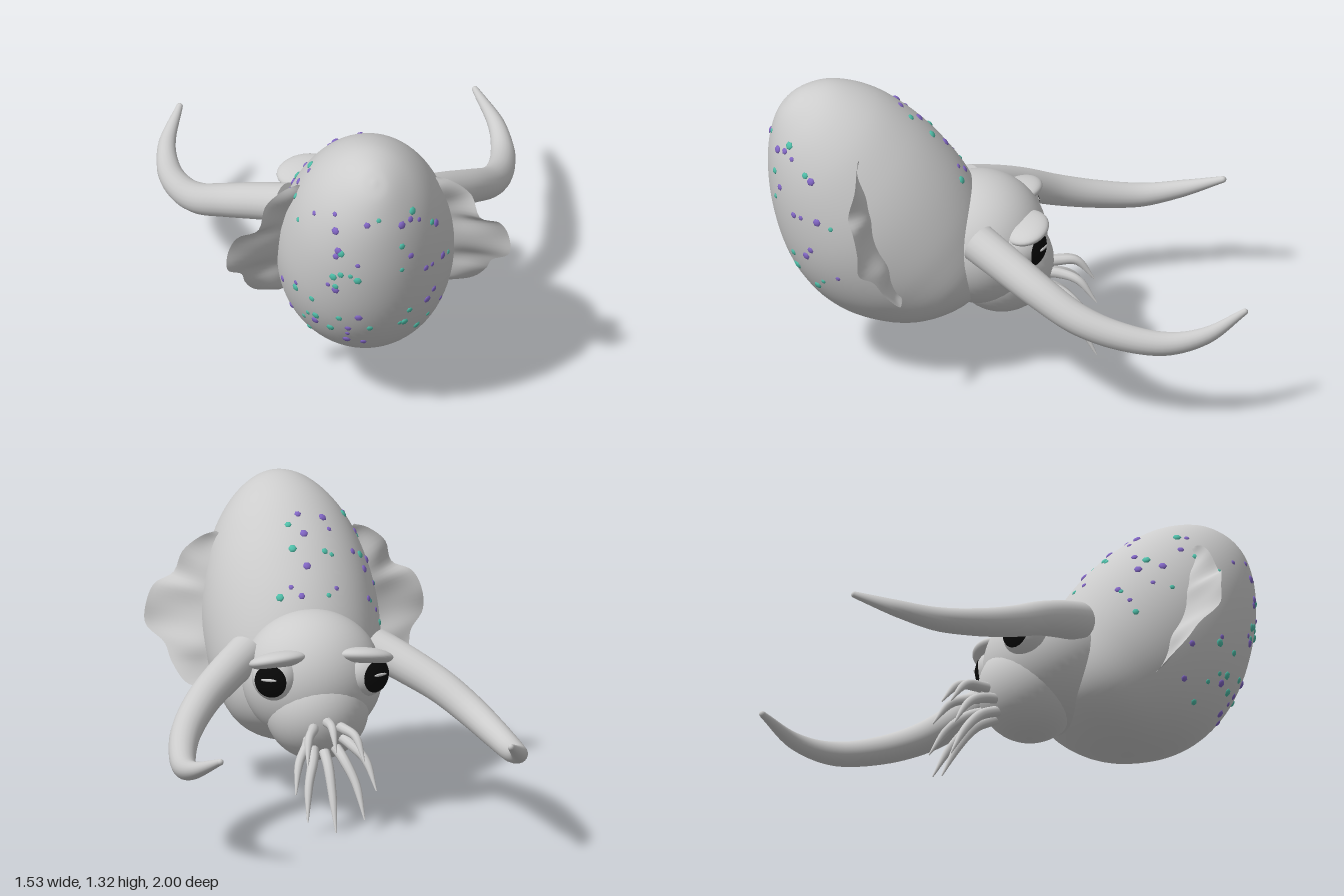
import * as THREE from 'three';
import { mergeVertices } from 'three/addons/utils/BufferGeometryUtils.js';

const V = (x, y, z) => new THREE.Vector3(x, y, z);
const path = (pts) => new THREE.CatmullRomCurve3(pts.map((p) => V(...p)));

function material(name, color, extra = {}) {
  const m = new THREE.MeshStandardMaterial({ color, ...extra });
  m.name = name;
  return m;
}

function add(parent, name, geometry, mat) {
  const mesh = new THREE.Mesh(geometry, mat);
  mesh.name = name;
  parent.add(mesh);
  return mesh;
}

function smooth(geometry) {
  geometry.deleteAttribute('uv');
  geometry.deleteAttribute('normal');
  const g = mergeVertices(geometry, 1e-5);
  g.computeVertexNormals();
  return g;
}

// Tube whose radius follows a list of values along its length
function taperedTube(curve, radii, segments, sides) {
  const g = new THREE.TubeGeometry(curve, segments, 1, sides);
  const pos = g.attributes.position, v = V(0, 0, 0);
  for (let i = 0; i <= segments; i++) {
    const centre = curve.getPointAt(i / segments);
    const f = (i / segments) * (radii.length - 1);
    const k = Math.min(Math.floor(f), radii.length - 2);
    const r = THREE.MathUtils.lerp(radii[k], radii[k + 1], f - k);
    for (let j = 0; j <= sides; j++) {
      const n = i * (sides + 1) + j;
      v.fromBufferAttribute(pos, n).sub(centre).multiplyScalar(r).add(centre);
      pos.setXYZ(n, v.x, v.y, v.z);
    }
  }
  return g;
}

// Egg lofted on a slanted axis; stations: distance on axis, offset, half depth, half width
function mantleGeometry() {
  const stations = [
    [1.53, 0.245, 0, 0], [1.517, 0.24, 0.075, 0.065], [1.46, 0.235, 0.172, 0.152],
    [1.379, 0.22, 0.25, 0.228], [1.254, 0.195, 0.33, 0.3], [1.09, 0.16, 0.393, 0.352],
    [0.938, 0.134, 0.421, 0.375], [0.776, 0.118, 0.417, 0.373], [0.624, 0.115, 0.375, 0.35],
    [0.46, 0.126, 0.275, 0.295], [0.36, 0.155, 0.15, 0.19], [0.31, 0.18, 0, 0],
  ];
  const depth = path(stations.map(([s, c, r]) => [s, c, r]));
  const width = path(stations.map(([s, , , w]) => [s, w, 0]));
  const g = new THREE.SphereGeometry(1, 72, 55);
  const pos = g.attributes.position;
  for (let i = 0; i < pos.count; i++) {
    const row = Math.floor(i / 73), a = ((i % 73) / 72) * Math.PI * 2;
    const d = depth.getPoint(row / 55), w = width.getPoint(row / 55).y;
    const n = d.y - Math.sin(a) * Math.max(d.z, 0);
    pos.setXYZ(i, -Math.cos(a) * Math.max(w, 0), (d.x + n) * Math.SQRT1_2, (d.x - n) * Math.SQRT1_2);
  }
  return smooth(g);
}

// Wavy side fin spanned between its root and its outer edge
function finGeometry(side) {
  const root = path([[0.25, 1.06, 0.61], [0.29, 0.9, 0.575], [0.31, 0.75, 0.535], [0.32, 0.6, 0.5], [0.32, 0.47, 0.455]]);
  const edge = path([[0.3, 1.095, 0.635], [0.36, 1.075, 0.645], [0.44, 1.01, 0.66], [0.475, 0.91, 0.69], [0.56, 0.87, 0.675],
    [0.6, 0.79, 0.66], [0.603, 0.7, 0.655], [0.535, 0.63, 0.585], [0.515, 0.56, 0.54], [0.46, 0.475, 0.47], [0.36, 0.455, 0.45]]);
  const g = new THREE.PlaneGeometry(1, 1, 14, 44);
  const pos = g.attributes.position;
  for (let i = 0; i < pos.count; i++) {
    const v = pos.getX(i) + 0.5, u = 0.5 - pos.getY(i);
    const p = root.getPoint(u).lerp(edge.getPoint(u), v);
    p.z += 0.018 * Math.sin(u * Math.PI * 5) * Math.sin(v * Math.PI);
    pos.setXYZ(i, p.x * side, p.y, p.z);
  }
  return smooth(g);
}

// Spot places in hundredths: x,y on the rear and x,z on the upper side
const SPOTS = {
  purple: {
    rear: [-17, 111, -17, 104, -4, 109, -25, 107, 11, 107, 15, 108, 19, 106, 27, 99, 15, 91, -8, 89, -16, 95, -17, 92,
      -20, 76, -17, 74, 22, 81, 25, 81, 30, 81, -36, 61, -32, 68, -7, 59, -11, 51, -11, 47, -11, 42, -4, 41, -18, 49,
      23, 62, 26, 66, 30, 54, -24, 50, -32, 46],
    upper: [-13, 20, -1, 24, 3, 16, 7, 19, -2, 35, -1, 43, -14, 40, -12, 44, -29, 30, -33, 34, -29, 39, -24, 39, -34, 44,
      -32, 49, -29, 58, -25, 62],
  },
  teal: {
    rear: [1, 111, 16, 111, 25, 101, -31, 99, -15, 94, 11, 97, 11, 85, -18, 81, -15, 83, -11, 83, -8, 81, -17, 76, 33, 79,
      -32, 65, -26, 64, -27, 53, -24, 54, -15, 57, -28, 48, -18, 49, -2, 52, 11, 53, 13, 53, 15, 60, 24, 50, 19, 46, -25, 39],
    upper: [-9, 17, 12, 18, -10, 30, -13, 30, 4, 30, 4, 39, -30, 31, -28, 43, -35, 36, -36, 52, -24, 58, -31, 64],
  },
};

export function createModel() {
  const model = new THREE.Group();
  model.name = 'cephalopod';
  const skin = material('skin', 0xcccccc);
  const finSkin = material('fin skin', 0xcccccc, { side: THREE.DoubleSide });
  const black = material('pupil black', 0x080808);
  const spotMats = { purple: material('purple', 0x8468c8), teal: material('teal', 0x50c0aa) };

  // Body and head
  const mantle = add(model, 'mantle', mantleGeometry(), skin);
  const head = add(model, 'head', new THREE.SphereGeometry(1, 48, 32), skin);
  head.scale.set(0.3, 0.285, 0.285);
  head.position.set(0, 0.575, 0.09);
  add(model, 'snout', new THREE.SphereGeometry(0.222, 40, 28), skin).position.set(0, 0.457, 0);

  // Spots pressed onto the mantle
  const spotShape = new THREE.SphereGeometry(1, 6, 5).rotateX(Math.PI / 2);
  const ray = new THREE.Raycaster();
  mantle.updateMatrixWorld();
  for (const [colour, sets] of Object.entries(SPOTS)) {
    const group = new THREE.Group();
    group.name = colour + ' spots';
    model.add(group);
    for (const [where, list] of Object.entries(sets)) {
      for (let i = 0; i < list.length; i += 2) {
        const a = list[i] / 100, b = list[i + 1] / 100;
        if (where === 'rear') ray.set(V(a, b, 3), V(0, 0, -1));
        else ray.set(V(a, 3, b), V(0, -1, 0));
        const hit = ray.intersectObject(mantle)[0];
        if (!hit) continue;
        const size = 0.012 + 0.0035 * ((i * 7) % 3);
        const spot = add(group, 'spot', spotShape, spotMats[colour]);
        spot.position.copy(hit.point);
        spot.lookAt(hit.point.clone().add(hit.face.normal));
        spot.scale.set(size, size, size * 0.5);
      }
    }
  }

  for (const side of [1, -1]) {
    const label = side > 0 ? 'left ' : 'right ';
    add(model, label + 'fin', finGeometry(side), finSkin);

    // Long curved arm with closed ends
    const arm = path([[0.28, 0.68, 0.12], [0.4, 0.62, 0], [0.52, 0.55, -0.13], [0.62, 0.47, -0.28], [0.68, 0.415, -0.45],
      [0.713, 0.387, -0.65], [0.703, 0.415, -0.82], [0.632, 0.487, -0.99]].map(([x, y, z]) => [x * side, y, z]));
    const armGroup = new THREE.Group();
    armGroup.name = label + 'long arm';
    model.add(armGroup);
    add(armGroup, 'arm', taperedTube(arm, [0.085, 0.08, 0.073, 0.067, 0.06, 0.052, 0.036, 0.014], 48, 20), skin);
    add(armGroup, 'arm tip', new THREE.SphereGeometry(0.014, 12, 8), skin).position.copy(arm.getPoint(1));
    const base = add(armGroup, 'arm base', new THREE.CircleGeometry(0.085, 20), skin);
    base.position.copy(arm.getPoint(0));
    base.lookAt(arm.getPoint(0).sub(arm.getTangent(0)));

    // Eye with pupil, slit and heavy lid
    const eye = new THREE.Group();
    eye.name = label + 'eye';
    eye.position.set(0.19 * side, 0.62, -0.07);
    eye.lookAt(eye.position.clone().add(V(0.5 * side, -0.05, -0.86)));
    model.add(eye);
    add(eye, 'eyeball', new THREE.SphereGeometry(0.105, 32, 24), skin);
    add(eye, 'pupil', new THREE.SphereGeometry(0.108, 28, 10, 0, Math.PI * 2, 0, 0.72).rotateX(Math.PI / 2), black);
    const slit = add(eye, 'eye slit', new THREE.SphereGeometry(1, 12, 8), skin);
    slit.scale.set(0.036, 0.007, 0.006);
    slit.position.set(0, 0.012, 0.106);
    const lid = add(model, label + 'eyelid', new THREE.SphereGeometry(1, 32, 20), skin);
    lid.position.set(0.185 * side, 0.695, -0.09);
    lid.rotation.set(0.25, 0, -0.1 * side);
    lid.scale.set(0.128, 0.038, 0.1);
  }

  // Ring of eight short feeding arms around the mouth
  for (let i = 0; i < 8; i++) {
    const a = (i / 8) * Math.PI * 2, cx = Math.sin(a), cy = Math.cos(a);
    const curve = path([[0.065, 0.37, -0.15], [0.095, 0.35, -0.24], [0.145, 0.295, -0.32], [0.175, 0.177, -0.395]]
      .map(([r, y, z]) => [cx * r, y + cy * r, z]));
    add(model, 'feeding arm', taperedTube(curve, [0.024, 0.022, 0.017, 0.003], 20, 10), skin);
  }
  return model;
}
